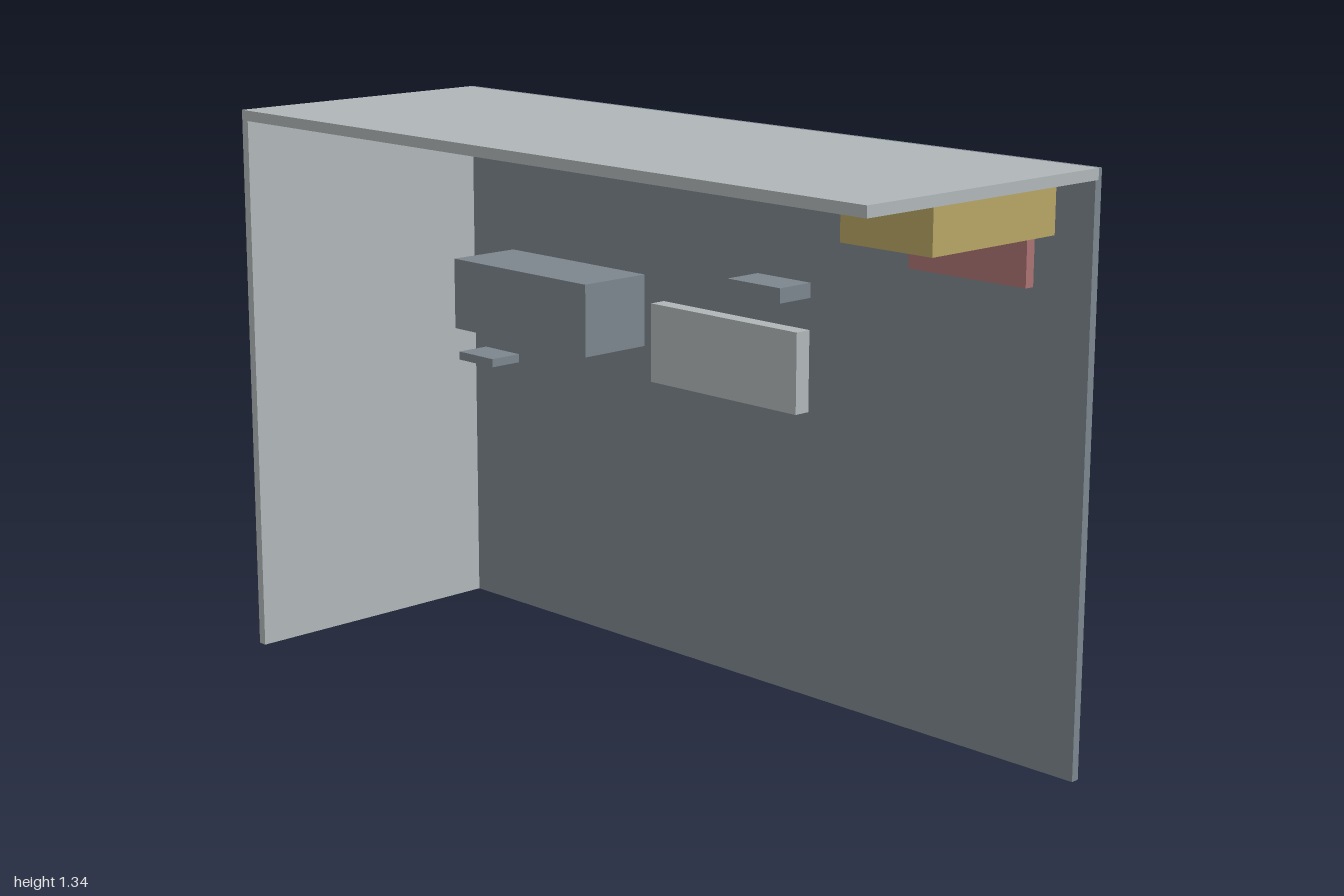
import * as THREE from 'three';

const material = (name, color) => {
  const m = new THREE.MeshStandardMaterial({ color });
  m.name = name;
  return m;
};

export function createModel() {
  const lightGrey = material('light grey', 0xb1b7b9);
  const slate = material('slate grey', 0x7d868e);
  const red = material('muted red', 0xac7373);
  const ochre = material('ochre', 0xb8a564);

  const model = new THREE.Group();
  model.name = 'roomShell';

  // Box given by its [min, max] range on each axis
  const box = (name, mat, [x0, x1], [y0, y1], [z0, z1]) => {
    const mesh = new THREE.Mesh(new THREE.BoxGeometry(x1 - x0, y1 - y0, z1 - z0), mat);
    mesh.position.set((x0 + x1) / 2, (y0 + y1) / 2, (z0 + z1) / 2);
    mesh.name = name;
    model.add(mesh);
  };

  // Shell: back wall in two layers, rebated for the side wall and ceiling
  box('backWallOuter', slate, [-1, 1], [0, 1.335], [-0.36, -0.35]);
  box('backWallInner', slate, [-0.978, 1], [0, 1.31], [-0.35, -0.34]);
  box('sideWall', lightGrey, [-1, -0.978], [0, 1.31], [-0.35, 0.36]);
  box('ceiling', lightGrey, [-1, 1], [1.31, 1.335], [-0.35, 0.36]);

  // Wall-mounted parts
  box('wallCabinet', slate, [-0.825, -0.34], [0.758, 0.935], [-0.34, -0.145]);
  box('wallPlate', red, [0.522, 0.848], [1.067, 1.207], [-0.34, -0.315]);
  box('bracketBeam', ochre, [0.651, 0.9], [1.184, 1.289], [-0.34, 0.05]);

  // Free-floating parts
  box('hangingPanel', lightGrey, [-0.125, 0.34], [0.732, 0.919], [-0.197, -0.156]);
  box('lowerBlock', slate, [-0.644, -0.521], [0.726, 0.746], [-0.092, -0.007]);
  box('upperBlock', slate, [0.319, 0.476], [1.03, 1.063], [-0.052, 0.042]);

  return model;
}
